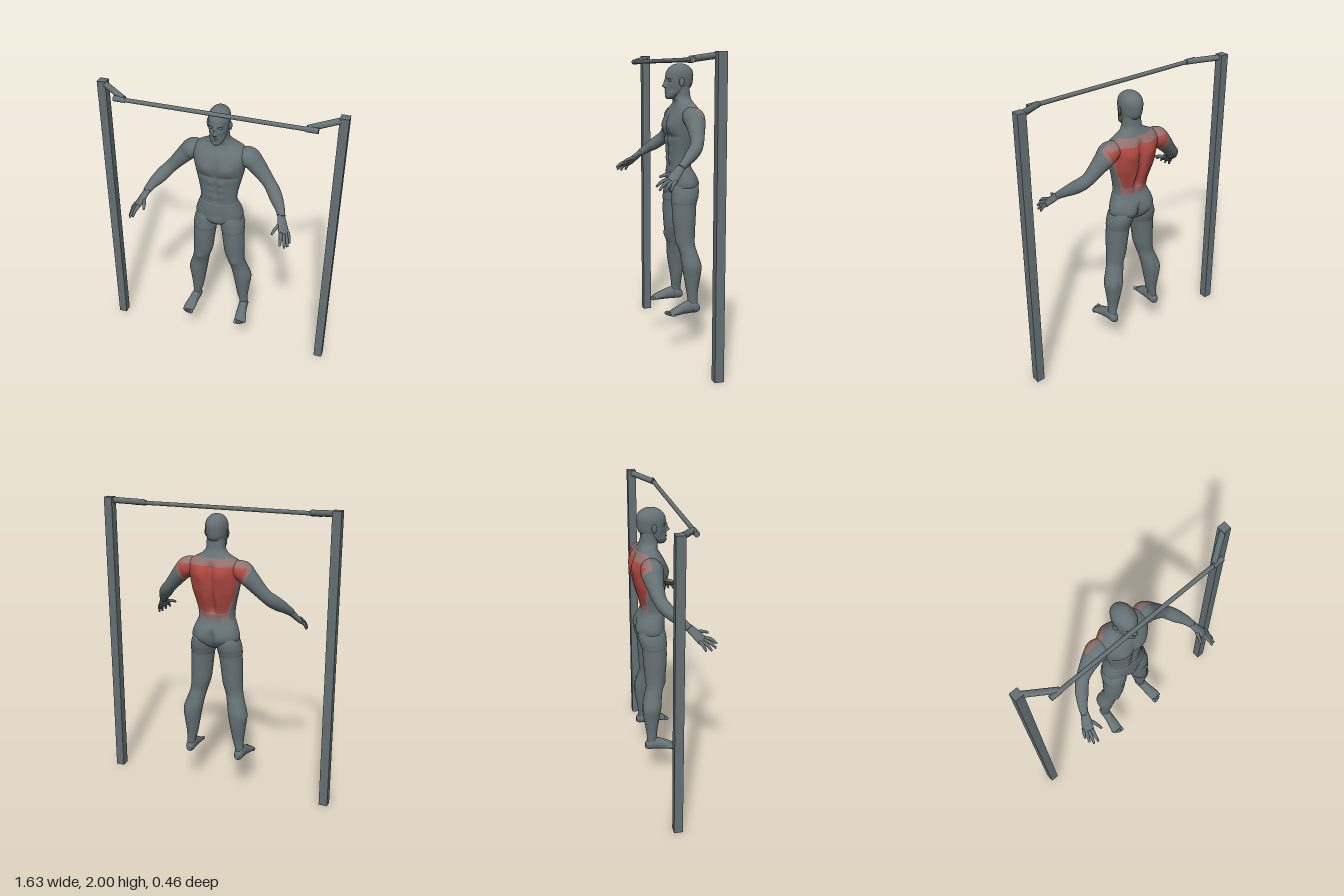
import * as THREE from 'three';

const mat = (name, color) => Object.assign(new THREE.MeshStandardMaterial({ color }), { name });
const V = (x, y, z) => new THREE.Vector3(x, y, z);
const X = V(1, 0, 0), Y = V(0, 1, 0), Z = V(0, 0, 1);
// bell-shaped bump around zero
const bump = (u, v = 0) => Math.exp(-u * u - v * v);
const smooth = THREE.MathUtils.smoothstep;
const between = (y, a, b, soft = 0.03) => smooth(y, a - soft, a + soft) * (1 - smooth(y, b - soft, b + soft));

// Catmull-Rom through rows of numbers, t from 0 to 1
function sample(keys, t) {
  const n = keys.length - 1, f = Math.min(t * n, n - 1e-6), i = Math.floor(f), u = f - i;
  const at = k => keys[Math.max(0, Math.min(n, k))];
  return keys[0].map((_, c) => {
    const [a, b, d, e] = [at(i - 1)[c], at(i)[c], at(i + 1)[c], at(i + 2)[c]];
    return b + 0.5 * u * (d - a + u * (2 * a - 5 * b + 4 * d - e + u * (3 * (b - d) + e - a)));
  });
}

// Skin over cross-sections [x, y, z, radiusA, radiusB]; B follows the path unless given
function loft(name, keys, mats, { A = X, B = null, rows = 40, segs = 32, power = 2, deform, swell, paint } = {}) {
  const pos = [], groups = mats.map(() => []);
  for (let i = 0; i <= rows + 2; i++) {
    const t = Math.max(0, Math.min(1, (i - 1) / rows));
    const [x, y, z, ra, rb] = sample(keys, t);
    const p0 = sample(keys, Math.max(0, t - 0.01)), p1 = sample(keys, Math.min(1, t + 0.01));
    const T = V(p1[0] - p0[0], p1[1] - p0[1], p1[2] - p0[2]).normalize();
    const b = B ? B.clone() : T.clone().cross(A).normalize();
    const a = B ? A.clone() : b.clone().cross(T);
    if (a.clone().cross(b).dot(T) < 0) b.negate();
    const s = i === 0 || i === rows + 2 ? 0 : swell ? swell(y) : 1;
    for (let j = 0; j < segs; j++) {
      const q = j / segs * Math.PI * 2, c = Math.cos(q), d = Math.sin(q);
      const p = V(x, y, z)
        .addScaledVector(a, Math.sign(c) * Math.abs(c) ** (2 / power) * Math.max(ra, 0) * s)
        .addScaledVector(b, Math.sign(d) * Math.abs(d) ** (2 / power) * Math.max(rb, 0) * s);
      if (deform) deform(p);
      pos.push(p.x, p.y, p.z);
    }
  }
  const mid = k => V(pos[k * 3], pos[k * 3 + 1], pos[k * 3 + 2]);
  for (let i = 0; i < rows + 2; i++) for (let j = 0; j < segs; j++) {
    const k = (j + 1) % segs, a = i * segs + j, b = i * segs + k, c = b + segs, d = a + segs;
    const g = groups[paint ? paint(mid(a).add(mid(c)).multiplyScalar(0.5)) : 0];
    if (i > 0) g.push(a, b, c);
    if (i < rows + 1) g.push(a, c, d);
    else if (i === 0) g.push(a, c, d);
  }
  const geo = new THREE.BufferGeometry();
  geo.setAttribute('position', new THREE.Float32BufferAttribute(pos, 3));
  geo.setIndex(groups.flat());
  let start = 0;
  groups.forEach((g, m) => { geo.addGroup(start, g.length, m); start += g.length; });
  geo.computeVertexNormals();
  const mesh = new THREE.Mesh(geo, mats.length > 1 ? mats : mats[0]);
  mesh.name = name;
  return mesh;
}

// horizontal slices: [y, centreX, halfWidth, zFront, zBack]
const slices = (rows, s = 1) => rows.map(([y, x, w, f, b]) => [x * s, y, (f + b) / 2, w, (f - b) / 2]);

function rod(name, from, to, r, m, sides = 16) {
  const mesh = new THREE.Mesh(new THREE.CylinderGeometry(r, r, from.distanceTo(to), sides), m);
  mesh.position.copy(from).lerp(to, 0.5);
  mesh.quaternion.setFromUnitVectors(Y, to.clone().sub(from).normalize());
  mesh.name = name;
  return mesh;
}

function ball(name, x, y, z, rx, ry, rz, m) {
  const mesh = new THREE.Mesh(new THREE.SphereGeometry(1, 16, 12), m);
  mesh.position.set(x, y, z);
  mesh.scale.set(rx, ry, rz);
  mesh.name = name;
  return mesh;
}

// 0 plain, 1 faded rim, 2 highlighted back muscle
function backPaint(p) {
  const x = Math.abs(p.x), w = 0.095 + 0.145 * smooth(p.y, 1.27, 1.64);
  if (x < w && p.y > 1.3 && p.y < 1.615 && p.z < -0.15) return 2;
  if (x < w + 0.025 && p.y > 1.25 && p.y < 1.665 && p.z < -0.135) return 1;
  return 0;
}

function shapeTorso(p) {
  const x = Math.abs(p.x), y = p.y;
  if (p.z > -0.06) {
    p.z += 0.012 * bump((x - 0.075) / 0.05, (y - 1.525) / 0.045)      // chest
      - 0.010 * bump(p.x / 0.012) * between(y, 1.3, 1.6)              // midline
      - 0.008 * bump((x - 0.07) / 0.07, (y - 1.455) / 0.014)          // crease below chest
      + 0.004 * bump((x - 0.09) / 0.007, (y - 1.492) / 0.007)         // nipple
      - 0.008 * bump(p.x / 0.008, (y - 1.265) / 0.009);               // navel
    for (const h of [1.3, 1.355, 1.41]) p.z += 0.006 * bump((x - 0.036) / 0.026, (y - h) / 0.02);
    p.z += 0.012 * bump(p.x / 0.035, (y - 1.1) / 0.04);
  } else if (p.z < -0.13) {
    p.z += 0.026 * bump(p.x / 0.022) * between(y, 1.3, 1.63)          // spine
      - 0.014 * bump((x - 0.075) / 0.045, (y - 1.56) / 0.06)          // shoulder blade
      - 0.006 * bump((x - 0.04) / 0.022) * between(y, 1.26, 1.42)     // lower back
      - 0.014 * bump((x - 0.075) / 0.045, (y - 1.12) / 0.05)          // seat
      + 0.022 * bump(p.x / 0.014) * between(y, 1.05, 1.17);
  }
}

function shapeHead(p) {
  const x = Math.abs(p.x), y = p.y;
  if (p.z < -0.05) return;
  p.z += 0.024 * bump(x / 0.012, (y - 1.788) / 0.013)                 // nose
    + 0.014 * bump(x / 0.010, (y - 1.815) / 0.022)
    + 0.008 * bump((x - 0.013) / 0.007, (y - 1.783) / 0.008)
    - 0.013 * bump((x - 0.03) / 0.014, (y - 1.824) / 0.011)           // eye sockets
    + 0.005 * bump((x - 0.028) / 0.02, (y - 1.843) / 0.008)           // brow
    + 0.007 * bump(x / 0.02, (y - 1.759) / 0.006)                     // lips
    + 0.007 * bump(x / 0.018, (y - 1.745) / 0.006)
    - 0.005 * bump(x / 0.025, (y - 1.752) / 0.003)
    - 0.006 * bump((x - 0.045) / 0.015, (y - 1.765) / 0.02)           // cheeks
    + 0.005 * bump(x / 0.02, (y - 1.72) / 0.012);                     // chin
}

export function createModel() {
  const model = new THREE.Group();
  model.name = 'athleteAndBar';
  const grey = mat('slate grey', 0x657174);
  const fade = mat('faded red', 0x93716e), red = mat('muscle red', 0xb34b43);
  const skin = [grey, fade, red];

  // pull-up frame
  const frame = new THREE.Group();
  frame.name = 'pullUpFrame';
  frame.add(rod('crossbar', V(-0.655, 1.952, 0.045), V(0.655, 1.952, 0.045), 0.014, grey));
  for (const s of [1, -1]) {
    const post = new THREE.Mesh(new THREE.BoxGeometry(0.058, 2, 0.058), grey);
    post.name = 'post';
    post.position.set(s * 0.787, 1, -0.082);
    frame.add(post,
      rod('barSleeve', V(s * 0.58, 1.952, 0.045), V(s * 0.657, 1.952, 0.045), 0.018, grey),
      rod('bracket', V(s * 0.785, 1.98, -0.085), V(s * 0.59, 1.956, 0.04), 0.02, grey));
  }
  model.add(frame);

  const body = new THREE.Group();
  body.name = 'athlete';
  model.add(body);

  // trunk and neck
  body.add(loft('trunk', slices([
    [1.04, 0, 0.03, -0.07, -0.13], [1.06, 0, 0.08, -0.04, -0.17], [1.09, 0, 0.145, -0.02, -0.19],
    [1.13, 0, 0.16, -0.015, -0.2], [1.18, 0, 0.148, -0.012, -0.195], [1.24, 0, 0.127, -0.014, -0.165],
    [1.3, 0, 0.127, -0.012, -0.17], [1.38, 0, 0.143, -0.008, -0.195], [1.45, 0, 0.16, 0, -0.217],
    [1.52, 0, 0.173, 0.007, -0.225], [1.58, 0, 0.185, -0.005, -0.224], [1.62, 0, 0.183, -0.025, -0.213],
    [1.652, 0, 0.155, -0.046, -0.195], [1.68, 0, 0.1, -0.055, -0.18], [1.71, 0, 0.067, -0.048, -0.168],
    [1.75, 0, 0.06, -0.05, -0.162], [1.82, 0, 0.056, -0.06, -0.16],
  ]), skin, {
    B: Z, rows: 150, segs: 96, power: 2.3, deform: shapeTorso, paint: backPaint,
    swell: y => (y < 1.238 ? 1.035 : 1),
  }));

  // head
  body.add(loft('head', slices([
    [1.7, 0, 0.018, -0.005, -0.05], [1.712, 0, 0.034, 0.003, -0.07], [1.735, 0, 0.048, 0.006, -0.105],
    [1.76, 0, 0.057, 0.005, -0.15], [1.79, 0, 0.064, 0.004, -0.177], [1.83, 0, 0.069, 0.004, -0.186],
    [1.87, 0, 0.07, 0.003, -0.188], [1.9, 0, 0.062, -0.012, -0.177], [1.92, 0, 0.047, -0.034, -0.156],
    [1.932, 0, 0.029, -0.058, -0.132], [1.937, 0, 0.003, -0.09, -0.1],
  ]), [grey], { B: Z, rows: 90, segs: 96, deform: shapeHead }));

  for (const s of [1, -1]) {
    const flip = keys => keys.map(([x, ...rest]) => [x * s, ...rest]);
    const side = s > 0 ? 'left' : 'right';
    body.add(ball(side + 'Eye', s * 0.03, 1.824, -0.018, 0.013, 0.01, 0.012, grey));
    const ear = ball(side + 'Ear', s * 0.075, 1.815, -0.085, 0.008, 0.03, 0.018, grey);
    ear.rotation.y = s * -0.35;
    body.add(ear);

    // arm
    body.add(loft(side + 'Arm', flip([
      [0.12, 1.6, -0.12, 0.05, 0.05], [0.19, 1.585, -0.125, 0.074, 0.066], [0.235, 1.545, -0.125, 0.066, 0.06],
      [0.29, 1.485, -0.115, 0.052, 0.05], [0.34, 1.43, -0.1, 0.043, 0.043], [0.375, 1.395, -0.075, 0.043, 0.045],
      [0.41, 1.36, -0.035, 0.04, 0.043], [0.445, 1.325, 0.01, 0.03, 0.033], [0.47, 1.29, 0.055, 0.024, 0.025],
    ]), skin, { A: Z, rows: 70, segs: 48, paint: backPaint }));

    // hand
    const across = V(s * 0.035, -0.01, -0.04).normalize();
    body.add(loft(side + 'Palm', flip([
      [0.463, 1.3, 0.045, 0.025, 0.02], [0.483, 1.262, 0.085, 0.034, 0.02],
      [0.506, 1.222, 0.125, 0.039, 0.016], [0.513, 1.212, 0.137, 0.034, 0.01],
    ]), [grey], { A: across, rows: 16, segs: 24 }));
    // knuckle, fingertip
    [
      [0.49, 1.227, 0.145, 0.505, 1.185, 0.225], [0.505, 1.218, 0.138, 0.533, 1.166, 0.213],
      [0.517, 1.214, 0.122, 0.547, 1.157, 0.183], [0.526, 1.217, 0.104, 0.552, 1.16, 0.145],
      [0.472, 1.26, 0.09, 0.44, 1.235, 0.185],
    ].forEach(([x, y, z, u, v, w], i) => {
      const bend = i === 4 ? [0.451, 1.25, 0.145] : [(x + u) / 2 + 0.003, (y + v) / 2 + 0.009, (z + w) / 2 + 0.003];
      body.add(loft(side + (i === 4 ? 'Thumb' : 'Finger'), flip([
        [x, y, z, 0.013, 0.013], [...bend, 0.011, 0.011], [u, v, w, 0.007, 0.007],
      ]), [grey], { A: across, rows: 10, segs: 12 }));
    });

    // leg, a little fuller under the shorts
    body.add(loft(side + 'Leg', slices([
      [1.16, 0.08, 0.055, -0.04, -0.18], [1.1, 0.087, 0.077, -0.018, -0.197], [1.05, 0.095, 0.082, -0.013, -0.193],
      [1, 0.1, 0.079, -0.01, -0.18], [0.9, 0.109, 0.075, -0.012, -0.172], [0.8, 0.116, 0.069, -0.022, -0.165],
      [0.72, 0.132, 0.06, -0.038, -0.16], [0.66, 0.148, 0.062, -0.053, -0.175], [0.58, 0.167, 0.066, -0.06, -0.195],
      [0.5, 0.17, 0.055, -0.073, -0.188], [0.4, 0.173, 0.04, -0.09, -0.17], [0.33, 0.181, 0.029, -0.097, -0.165],
      [0.27, 0.185, 0.028, -0.09, -0.17],
    ], s), [grey], {
      B: Z, rows: 120, segs: 48, swell: y => (y > 1.002 ? 1.035 : 1),
      deform: p => { // kneecap and split calf
        const u = Math.abs(p.x);
        if (p.z > -0.1) p.z += 0.01 * bump((u - 0.13) / 0.025, (p.y - 0.745) / 0.03);
        else p.z += 0.007 * bump((u - 0.165) / 0.012, (p.y - 0.58) / 0.07);
      },
    }));

    // foot and toes
    body.add(loft(side + 'Foot', flip([
      [0.182, 0.28, -0.178, 0.018, 0.02], [0.183, 0.288, -0.155, 0.03, 0.038], [0.185, 0.295, -0.11, 0.033, 0.045],
      [0.19, 0.287, -0.06, 0.035, 0.038], [0.197, 0.274, -0.01, 0.041, 0.027], [0.2, 0.265, 0.025, 0.04, 0.016],
      [0.2, 0.261, 0.038, 0.034, 0.01],
    ]), [grey], { B: Y, rows: 40, segs: 32, deform: p => { p.y = Math.max(p.y, 0.25); } }));
    for (let i = 0; i < 5; i++) {
      const r = i ? 0.0085 : 0.012;
      body.add(ball(side + 'Toe', s * (0.171 + (i ? 0.004 : 0) + i * 0.0148), 0.25 + r, 0.046 - i * i * 0.0016, r, r, 0.021, grey));
    }
  }
  return model;
}
